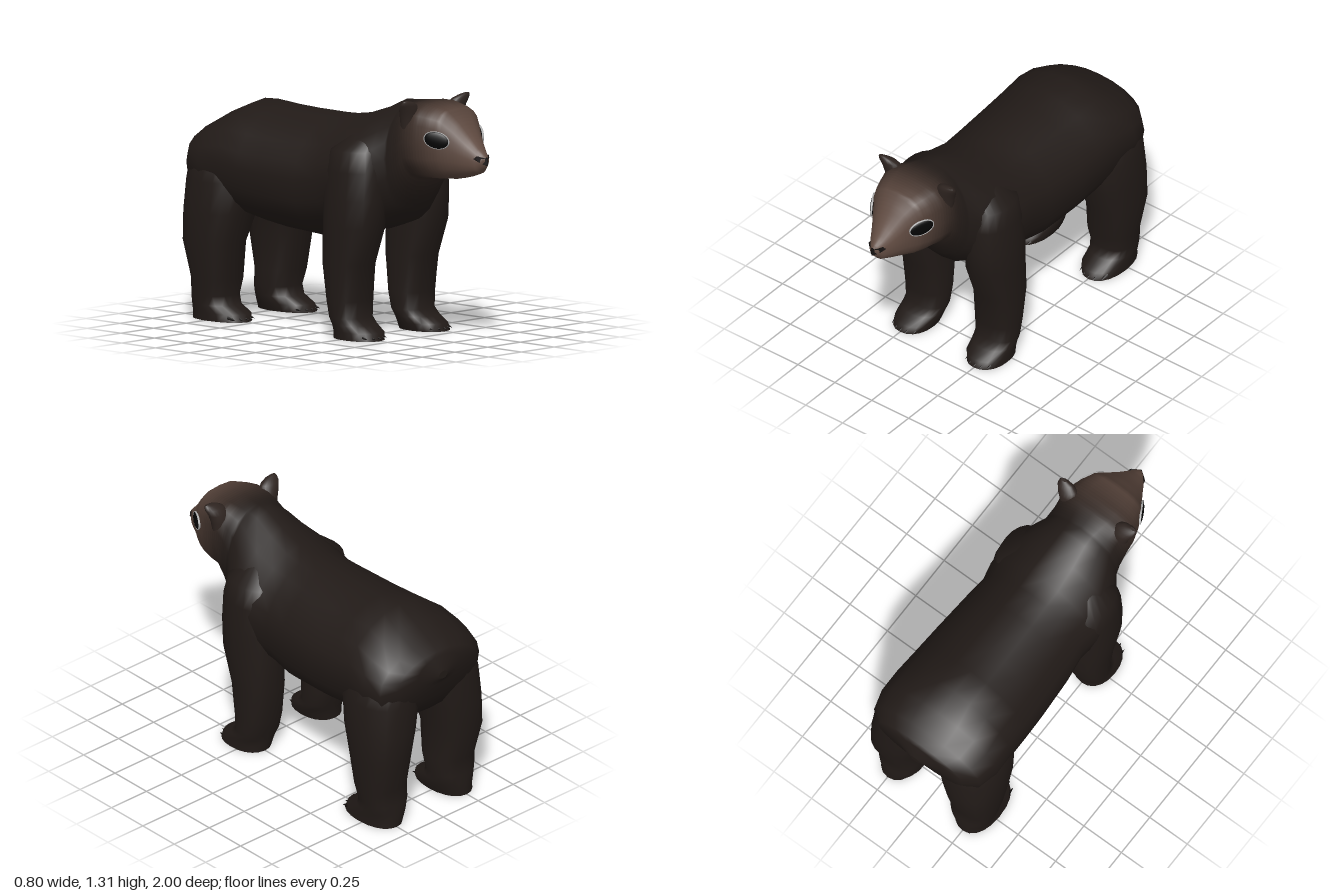
import * as THREE from 'three';

const SIDES = 20;
const BODY_COLOR = 0x211a17;
const SNOUT_COLOR = 0x624c42;
const material = (color) => new THREE.MeshStandardMaterial({ color, roughness: 0.9 });
const fur = material(BODY_COLOR);
const earFur = material(0x2e2420);
const dark = material(0x151110);
const black = material(0x050505);
const rim = material(0xb0b0b0);

// Rounded ring of unit points; 2 is an ellipse, larger is boxier (upper and lower half)
function unitRing(pTop, pBottom = pTop) {
  return Array.from({ length: SIDES }, (_, j) => {
    const t = (j / SIDES) * Math.PI * 2;
    const c = Math.cos(t), s = Math.sin(t);
    const e = 2 / (s > 0 ? pTop : pBottom);
    return [Math.sign(c) * Math.abs(c) ** e, Math.sign(s) * Math.abs(s) ** e];
  });
}

// Skin a list of rings, with flat caps at both ends
function loft(rings) {
  const n = rings.length, pos = [], index = [];
  const put = (v) => pos.push(...v);
  rings.forEach((r) => r.forEach(put));
  for (let i = 0; i < n - 1; i++) {
    for (let j = 0; j < SIDES; j++) {
      const k = (j + 1) % SIDES;
      const a = i * SIDES + j, b = i * SIDES + k;
      index.push(a, b, b + SIDES, a, b + SIDES, a + SIDES);
    }
  }
  [rings[0], rings[n - 1]].forEach((ring, end) => {
    const base = pos.length / 3;
    ring.forEach(put);
    put([0, 1, 2].map((c) => ring.reduce((sum, v) => sum + v[c], 0) / SIDES));
    for (let j = 0; j < SIDES; j++) {
      const a = base + j, b = base + ((j + 1) % SIDES);
      index.push(base + SIDES, end ? a : b, end ? b : a);
    }
  });
  const g = new THREE.BufferGeometry();
  g.setAttribute('position', new THREE.Float32BufferAttribute(pos, 3));
  g.setIndex(index);
  g.computeVertexNormals();
  return g;
}

// Ring lying flat at height y, between inner and outer x on side s, and z0..z1
const flatRing = (s, p, [y, x0, x1, z0, z1]) => unitRing(p).map(([c, sn]) =>
  [s * (x0 + x1) / 2 + c * (x1 - x0) / 2, y, (z0 + z1) / 2 - sn * (z1 - z0) / 2]);

// Upright ring at depth z, between bottom and top
const uprightRing = ([z, top, bottom, w, pTop, pBottom]) => unitRing(pTop, pBottom).map(([c, s]) =>
  [c * w, (top + bottom) / 2 + s * (top - bottom) / 2, z]);

// z, top, bottom, half width, upper and lower boxiness: rump to neck, then neck to nose
const TORSO = [
  [-1.0, 0.91, 0.865, 0.03, 2, 2], [-0.97, 0.99, 0.82, 0.15, 2, 2], [-0.953, 1.01, 0.74, 0.28, 2.1, 2.3],
  [-0.89, 1.05, 0.63, 0.355, 2.1, 2.4], [-0.78, 1.11, 0.59, 0.385, 2, 2.5], [-0.65, 1.17, 0.565, 0.382, 1.8, 2.5],
  [-0.5, 1.16, 0.53, 0.377, 1.8, 2.4], [-0.35, 1.155, 0.51, 0.37, 1.8, 2.4], [-0.1, 1.155, 0.493, 0.352, 1.8, 2.4],
  [0.04, 1.16, 0.515, 0.335, 1.8, 2.4], [0.14, 1.175, 0.54, 0.355, 1.75, 2.4], [0.28, 1.22, 0.565, 0.352, 1.65, 2.3],
  [0.4, 1.275, 0.605, 0.285, 1.75, 2.2],
];
const HEAD = [
  [0.46, 1.28, 0.67, 0.24, 2, 2.2], [0.52, 1.285, 0.77, 0.226, 2.4, 2.3],
  [0.58, 1.29, 0.872, 0.225, 2.8, 2.5], [0.65, 1.288, 0.878, 0.216, 3.1, 2.6], [0.72, 1.276, 0.88, 0.194, 3.1, 2.6],
  [0.78, 1.262, 0.883, 0.167, 3, 2.5], [0.84, 1.2, 0.895, 0.122, 2.6, 2.4], [0.9, 1.125, 0.91, 0.083, 2.3, 2.3],
  [0.95, 1.065, 0.928, 0.052, 2.2, 2.3], [0.98, 1.035, 0.96, 0.03, 2, 2], [0.992, 1.02, 0.99, 0.012, 2, 2],
];

// y, inner x, outer x, back z, front z
const FRONT_LEG = [
  [0, 0.14, 0.36, 0.14, 0.44], [0.04, 0.125, 0.36, 0.137, 0.425], [0.075, 0.12, 0.358, 0.13, 0.36],
  [0.11, 0.115, 0.358, 0.122, 0.31], [0.2, 0.11, 0.362, 0.1, 0.315], [0.4, 0.11, 0.372, 0.07, 0.34],
  [0.6, 0.1, 0.382, 0.065, 0.42], [0.75, 0.1, 0.38, 0.065, 0.43], [0.9, 0.1, 0.367, 0.075, 0.43],
  [1.01, 0.1, 0.345, 0.1, 0.41], [1.09, 0.1, 0.24, 0.18, 0.37],
];
const HIND_LEG = [
  [0, 0.14, 0.36, -0.91, -0.54], [0.04, 0.125, 0.36, -0.91, -0.555], [0.08, 0.12, 0.36, -0.91, -0.64],
  [0.13, 0.115, 0.363, -0.905, -0.667], [0.22, 0.11, 0.375, -0.9, -0.64], [0.42, 0.11, 0.398, -0.95, -0.61],
  [0.58, 0.07, 0.4, -0.955, -0.56], [0.75, 0.03, 0.396, -0.957, -0.52], [0.88, 0.04, 0.36, -0.948, -0.54],
  [0.98, 0.06, 0.27, -0.9, -0.62],
];
const EAR = [
  [1.13, 0.1, 0.215, 0.535, 0.63], [1.2, 0.11, 0.226, 0.54, 0.632], [1.25, 0.125, 0.242, 0.55, 0.635],
  [1.28, 0.14, 0.256, 0.57, 0.638], [1.298, 0.175, 0.255, 0.595, 0.634], [1.307, 0.215, 0.248, 0.61, 0.626],
];

export function createModel() {
  const model = new THREE.Group();
  const add = (name, geometry, mat, parent = model) => {
    const mesh = new THREE.Mesh(geometry, mat);
    mesh.name = name;
    parent.add(mesh);
    return mesh;
  };

  // One continuous skin; the head is refined into thin strips
  const STEPS = 4;
  const fine = HEAD.slice(1).flatMap((row, i) => Array.from({ length: STEPS }, (_, k) =>
    row.map((v, c) => THREE.MathUtils.lerp(HEAD[i][c], v, (k + 1) / STEPS))));
  const rows = [...TORSO, HEAD[0], ...fine];
  const skin = loft(rows.map(uprightRing));
  const faces = Array.from(skin.index.array);
  const perRing = SIDES * 6, capStart = (rows.length - 1) * perRing, capSize = SIDES * 3;
  const strip = (name, own, mat, parent) => {
    const part = new THREE.BufferGeometry();
    part.setAttribute('position', skin.attributes.position);
    part.setAttribute('normal', skin.attributes.normal);
    part.setIndex(own);
    add(name, part, mat, parent);
  };
  const split = TORSO.length;
  strip('body', [...faces.slice(0, split * perRing), ...faces.slice(capStart, capStart + capSize)], fur);

  // Head fur lightens towards the snout
  const head = new THREE.Group();
  head.name = 'head';
  model.add(head);
  for (let i = split; i < rows.length - 1; i++) {
    const t = THREE.MathUtils.smoothstep(rows[i][0], 0.46, 0.95);
    const color = new THREE.Color(BODY_COLOR).lerp(new THREE.Color(SNOUT_COLOR), t);
    strip('headFur', faces.slice(i * perRing, (i + 1) * perRing), material(color), head);
  }
  strip('snoutTip', faces.slice(capStart + capSize), dark, head);

  // Nose pad folded around the snout tip
  const noseShape = new THREE.Shape([
    [-0.042, 1.027], [-0.054, 1.012], [-0.03, 0.988], [0, 0.975],
    [0.03, 0.988], [0.054, 1.012], [0.042, 1.027], [0, 1.012],
  ].map(([x, y]) => new THREE.Vector2(x, y)));
  const nose = new THREE.ExtrudeGeometry(noseShape, { depth: 0.03, bevelEnabled: false });
  const np = nose.attributes.position;
  for (let i = 0; i < np.count; i++) {
    np.setZ(i, np.getZ(i) + 0.97 - Math.abs(np.getX(i)) * 0.75);
  }
  nose.computeVertexNormals();
  add('nose', nose, dark, head);

  for (const s of [1, -1]) {
    const side = s > 0 ? 'left' : 'right';

    // Legs with rounded paws and claws
    for (const [label, profile] of [['FrontLeg', FRONT_LEG], ['HindLeg', HIND_LEG]]) {
      const leg = new THREE.Group();
      leg.name = side + label;
      model.add(leg);
      const boxiness = (y) => (y > 0.1 && y < 0.6 ? 2.5 : 2.2);
      add('limb', loft(profile.map((row) => flatRing(s, boxiness(row[0]), row))), fur, leg);
      for (let i = -2; i <= 2; i++) {
        const claw = add('claw', new THREE.ConeGeometry(0.016, 0.06, 5), dark, leg);
        claw.rotation.x = Math.PI / 2 + 0.2;
        claw.position.set(s * 0.25 + i * 0.036, 0.018, profile[0][4] - 0.018 - i * i * 0.007);
      }
    }

    // Ears leaning outward to a pointed outer corner
    add(side + 'Ear', loft(EAR.map((row) => flatRing(s, 2, row))), earFur, head);

    // Eyes: dark flattened ball inside a pale rim, inner corner lower
    const eye = new THREE.Group();
    eye.name = side + 'Eye';
    eye.position.set(s * 0.165, 1.107, 0.78);
    eye.rotation.set(0, s * 1.05, s * 0.2);
    head.add(eye);
    add('eyeball', new THREE.SphereGeometry(1, 20, 12), black, eye).scale.set(0.068, 0.044, 0.013);
    add('eyeRim', new THREE.TorusGeometry(1, 0.05, 6, 28), rim, eye).scale.set(0.069, 0.045, 0.12);
  }
  return model;
}
